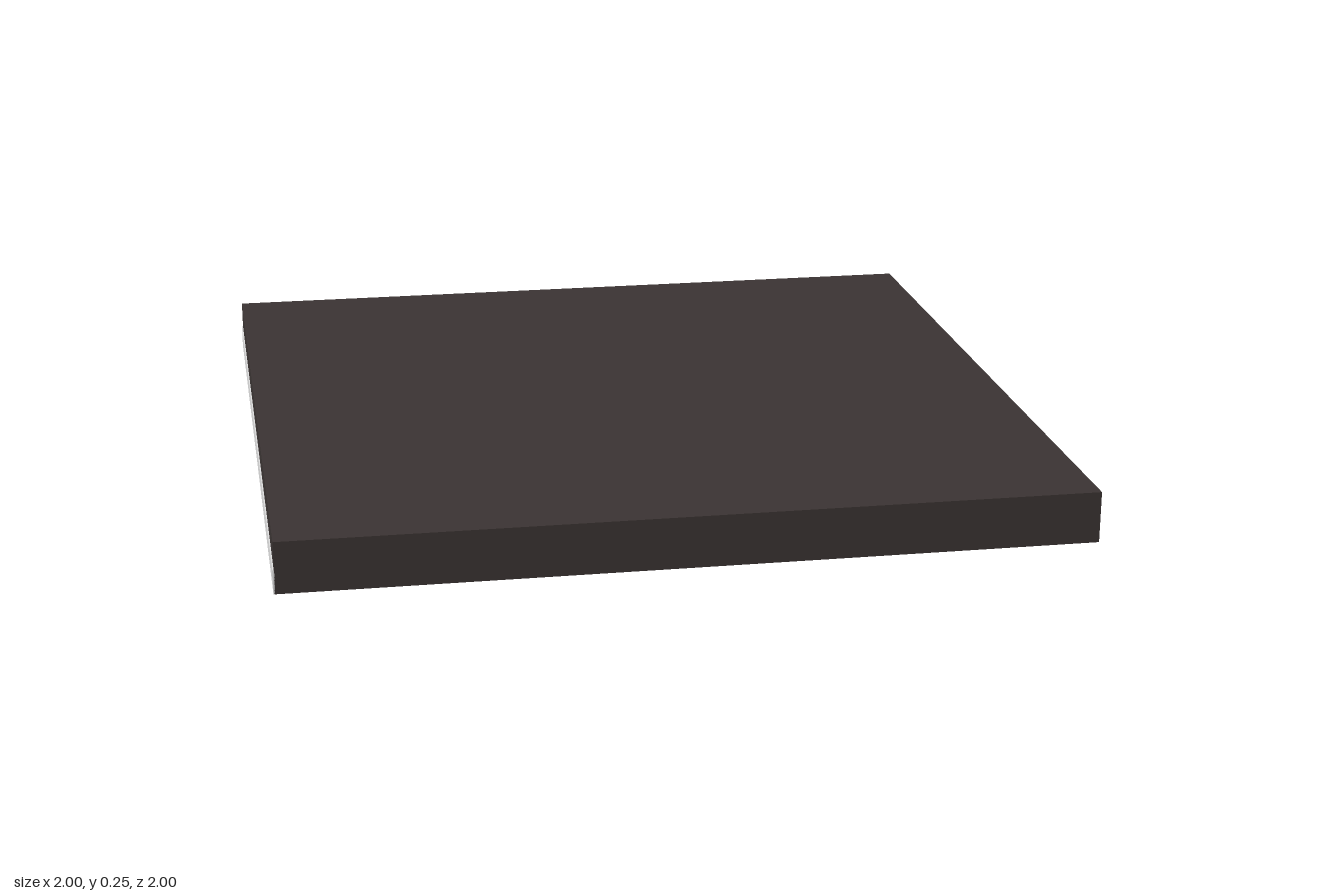
import * as THREE from 'three';

export function createModel() {
  const root = new THREE.Group();
  const paint = (name, color) => {
    const m = new THREE.MeshStandardMaterial({ color });
    m.name = name;
    return m;
  };
  const charcoal = paint('charcoal', 0x3b3433);
  const rust = paint('rust', 0x6e2f1a);
  const black = paint('black', 0x1c1a1a);
  const pale = paint('paleGrey', 0xd8d0cc);
  const edgeGrey = paint('edgeGrey', 0xe0e0e0);
  const wire = paint('wireGrey', 0x8a8886);

  const add = (name, geo, mat, parent = root, pos = [0, 0, 0]) => {
    const mesh = new THREE.Mesh(geo, mat);
    mesh.name = name;
    mesh.position.set(...pos);
    parent.add(mesh);
    return mesh;
  };
  const group = (name) => {
    const g = new THREE.Group();
    g.name = name;
    root.add(g);
    return g;
  };

  // Ceiling slab
  add('ceilingSlab', new THREE.BoxGeometry(2, 0.08, 2), charcoal, root, [0, 0.21, 0]);

  // Lower frame with three long coffers
  const rect = (C, x0, x1, y0, y1) => {
    const s = new C();
    s.moveTo(x0, y0);
    s.lineTo(x1, y0);
    s.lineTo(x1, y1);
    s.lineTo(x0, y1);
    s.closePath();
    return s;
  };
  const frame = rect(THREE.Shape, -1, 1, -1, 1);
  for (const [a, b] of [[-0.92, -0.37], [-0.29, 0.29], [0.37, 0.92]]) {
    frame.holes.push(rect(THREE.Path, -0.92, 0.92, a, b));
  }
  const frameGeo = new THREE.ExtrudeGeometry(frame, { depth: 0.05, bevelEnabled: false });
  frameGeo.rotateX(-Math.PI / 2);
  add('cofferFrame', frameGeo, charcoal, root, [0, 0.12, 0]);

  // Pale strip along one edge of the slab
  add('edgeStrip', new THREE.BoxGeometry(0.004, 0.06, 2), edgeGrey, root, [-1.001, 0.15, 0]);

  // Thin light rods hanging in the coffers
  const rods = group('lightRods');
  const rodGeo = new THREE.BoxGeometry(0.004, 0.004, 0.4);
  for (let i = 0; i < 26; i++) {
    const x = -0.8375 + i * 0.067;
    for (const z of [-0.635, 0, 0.635]) {
      if (z === 0 && Math.abs(x) < 0.42) continue;
      add('lightRod', rodGeo, pale, rods, [x, 0.1, z]);
    }
  }

  // Ring of sloping slats
  const slats = group('slatRing');
  const rIn = 0.15, rOut = 0.38, rise = 0.062, count = 48;
  const slope = Math.atan2(rise, rOut - rIn);
  const slatGeo = new THREE.BoxGeometry(Math.hypot(rOut - rIn, rise), 0.018, 0.014);
  slatGeo.rotateZ(slope);
  slatGeo.translate((rIn + rOut) / 2, 0.041, 0);
  for (let i = 0; i < count; i++) {
    add('slat', slatGeo, rust, slats).rotation.y = ((i + 0.5) / count) * Math.PI * 2;
  }

  // Suspension wires
  const wires = group('suspensionWires');
  const wireGeo = new THREE.CylinderGeometry(0.0015, 0.0015, 0.12, 6);
  for (let i = 0; i < 16; i++) {
    const a = ((i + 0.5) / 16) * Math.PI * 2;
    add('suspensionWire', wireGeo, wire, wires, [0.27 * Math.cos(a), 0.11, 0.27 * Math.sin(a)]);
  }

  // Small dark lamps around the slat ring
  const lamps = group('lamps');
  const lampGeo = new THREE.SphereGeometry(0.012, 12, 8);
  for (let i = 0; i < 8; i++) {
    const a = ((i + 0.5) / 8) * Math.PI * 2;
    add('lamp', lampGeo, black, lamps, [0.405 * Math.cos(a), 0.075, 0.405 * Math.sin(a)]);
  }

  return root;
}
